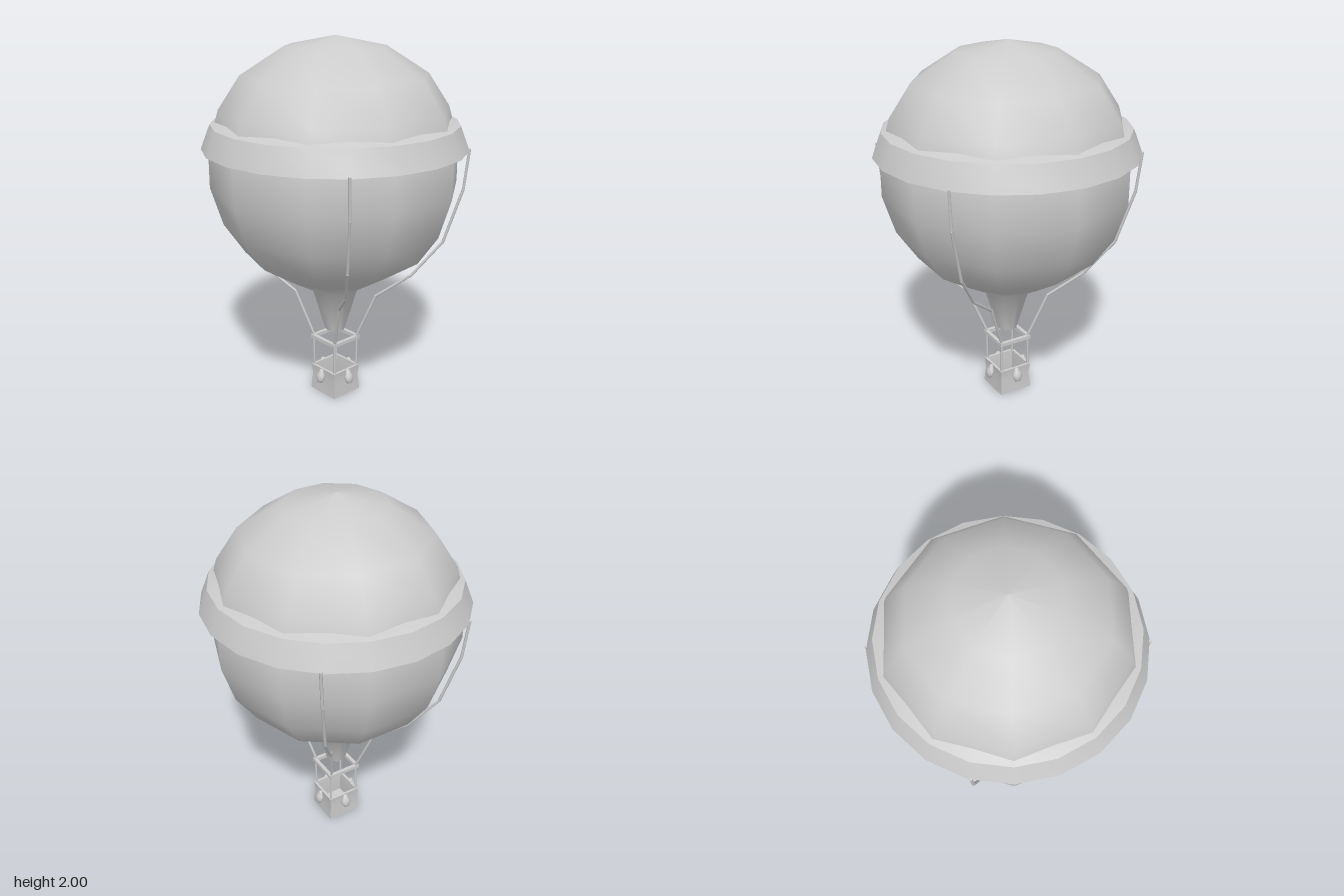
import * as THREE from 'three';
import { toCreasedNormals } from 'three/addons/utils/BufferGeometryUtils.js';

const grey = new THREE.MeshStandardMaterial({ color: 0xcccccc, side: THREE.DoubleSide });

function add(parent, name, geometry) {
  const mesh = new THREE.Mesh(geometry, grey);
  mesh.name = name;
  parent.add(mesh);
  return mesh;
}

// Profile points are [radius, y], listed from bottom to top on the outside
function lathe(profile, sides, start = 0) {
  return new THREE.LatheGeometry(profile.map(([r, y]) => new THREE.Vector2(r, y)), sides, start);
}

// Straight thin rod between two points
function rod(parent, name, a, b, radius) {
  const from = new THREE.Vector3(...a), to = new THREE.Vector3(...b);
  const dir = to.clone().sub(from);
  const mesh = add(parent, name, new THREE.CylinderGeometry(radius, radius, dir.length(), 6));
  mesh.position.copy(from).add(to).multiplyScalar(0.5);
  mesh.quaternion.setFromUnitVectors(new THREE.Vector3(0, 1, 0), dir.normalize());
  return mesh;
}

export function createModel() {
  const model = new THREE.Group();
  model.name = 'hotAirBalloon';

  // Ten-sided envelope with its neck
  add(model, 'envelope', lathe([
    [0.055, 0.38], [0.13, 0.63], [0.305, 0.735], [0.49, 0.855], [0.6, 1.015], [0.663, 1.22],
    [0.663, 1.43], [0.605, 1.63], [0.49, 1.803], [0.264, 1.947], [0, 2],
  ], 10));

  // Flared skirt band, hollow underneath
  add(model, 'skirtBand', toCreasedNormals(lathe([
    [0.6, 1.54], [0.635, 1.54], [0.685, 1.43], [0.7, 1.43], [0.65, 1.558], [0.59, 1.578],
  ], 20), 0.5));

  // Four ropes from the band to the load frame, and posts down to the basket
  const ropePath = [
    [0.556, 1.44, 0.424], [0.54, 1.226, 0.408], [0.466, 0.93, 0.35],
    [0.344, 0.733, 0.245], [0.18, 0.59, 0.138], [0.085, 0.33, 0.082],
  ];
  for (const sx of [-1, 1]) {
    for (const sz of [-1, 1]) {
      const rope = new THREE.Group();
      rope.name = 'rope';
      const path = ropePath.map(([x, y, z]) => [x * sx, y, z * sz]);
      for (let i = 1; i < path.length; i++) rod(rope, 'ropeSegment', path[i - 1], path[i], 0.008);
      model.add(rope);
      rod(model, 'basketPost', [0.085 * sx, 0.33, 0.085 * sz], [0.085 * sx, 0.1, 0.085 * sz], 0.007);
    }
  }

  // Square load frame
  for (const s of [-1, 1]) {
    add(model, 'frameBar', new THREE.BoxGeometry(0.196, 0.02, 0.02)).position.set(0, 0.326, 0.088 * s);
    add(model, 'frameBar', new THREE.BoxGeometry(0.02, 0.02, 0.196)).position.set(0.088 * s, 0.326, 0);
  }

  // Open basket with slightly waisted walls
  const basketProfile = [
    [0, 0], [0.098, 0], [0.098, 0.01], [0.09, 0.09], [0.097, 0.152],
    [0.083, 0.152], [0.08, 0.09], [0.083, 0.02], [0, 0.02],
  ].map(([half, y]) => [half * Math.SQRT2, y]);
  add(model, 'basket', toCreasedNormals(lathe(basketProfile, 4, Math.PI / 4), 0.4));

  // Teardrop sandbag hung on the middle of each wall
  const bagProfile = [[0, -0.042], [0.017, -0.036], [0.029, -0.012], [0.027, 0.008], [0.015, 0.03], [0.01, 0.042], [0, 0.044]];
  for (let i = 0; i < 4; i++) {
    const holder = new THREE.Group();
    holder.name = 'sandbagHolder';
    holder.rotation.y = i * Math.PI / 2;
    const bag = add(holder, 'sandbag', lathe(bagProfile, 10));
    bag.position.set(0, 0.113, 0.113);
    bag.rotation.x = -0.22;
    bag.scale.z = 0.7;
    model.add(holder);
  }

  return model;
}
